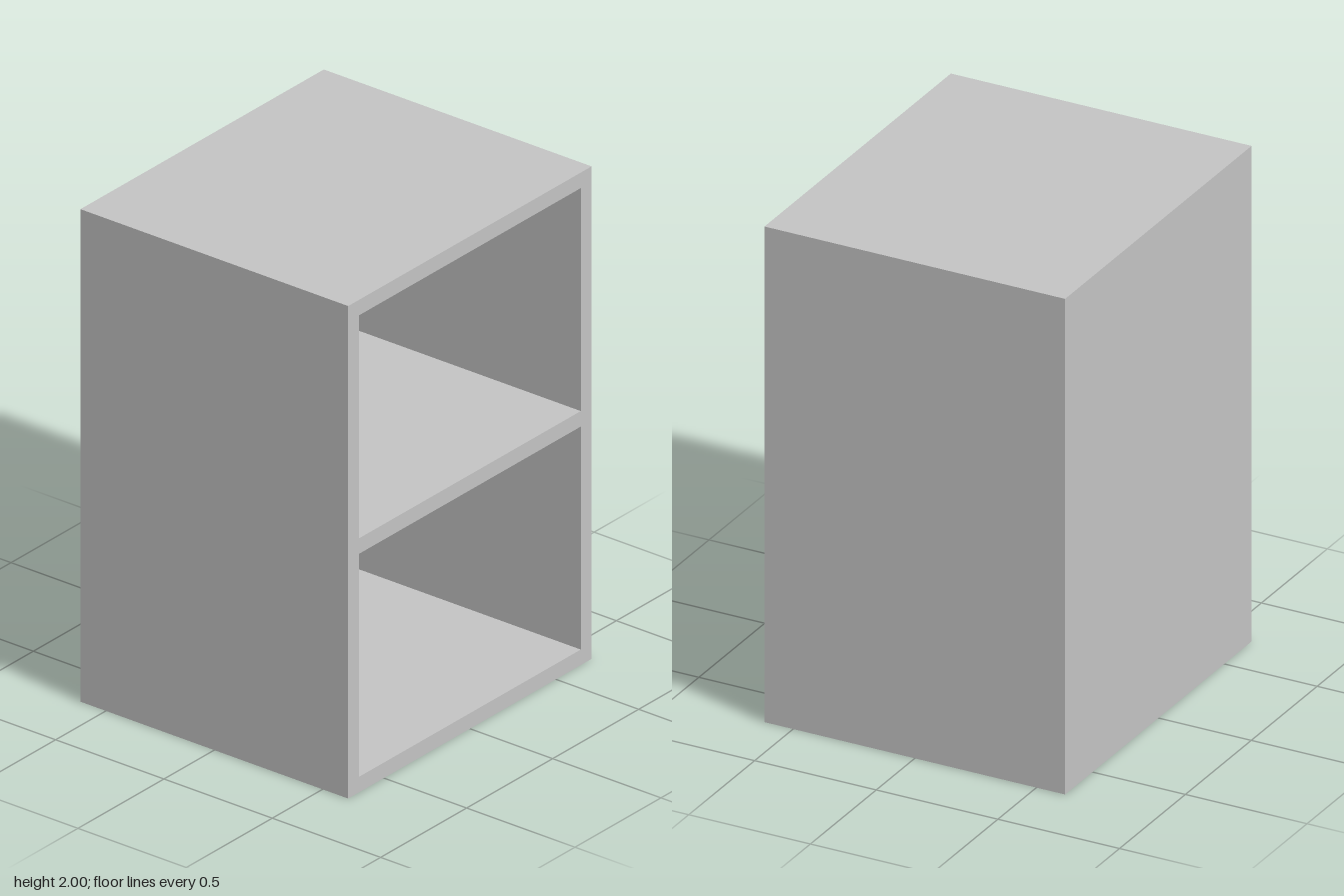
import * as THREE from 'three';

const WIDTH = 1.415, HEIGHT = 2, DEPTH = 1.236;
const BOARD = 0.063; // thickness of sides, top, bottom and shelf
const BACK = 0.12; // thickness of the back panel

// Closed rectangle path from its lower-left corner
function rectangle(path, x, y, w, h) {
  path.moveTo(x, y);
  path.lineTo(x + w, y);
  path.lineTo(x + w, y + h);
  path.lineTo(x, y + h);
  path.closePath();
  return path;
}

export function createModel() {
  const model = new THREE.Group();
  model.name = 'openCabinet';
  const grey = new THREE.MeshStandardMaterial({ color: 0xc4c4c4 });
  grey.name = 'light grey';

  // Carcass: sides, top, bottom and middle shelf around two equal openings
  const outline = rectangle(new THREE.Shape(), -WIDTH / 2, 0, WIDTH, HEIGHT);
  const openW = WIDTH - 2 * BOARD;
  const openH = (HEIGHT - 3 * BOARD) / 2;
  for (let i = 0; i < 2; i++) {
    const y = BOARD + i * (openH + BOARD);
    outline.holes.push(rectangle(new THREE.Path(), -openW / 2, y, openW, openH));
  }
  const carcass = new THREE.Mesh(
    new THREE.ExtrudeGeometry(outline, { depth: DEPTH - BACK, bevelEnabled: false }), grey);
  carcass.name = 'carcass';
  carcass.position.z = -DEPTH / 2 + BACK;

  // Back panel closing both compartments
  const back = new THREE.Mesh(new THREE.BoxGeometry(WIDTH, HEIGHT, BACK), grey);
  back.name = 'backPanel';
  back.position.set(0, HEIGHT / 2, -DEPTH / 2 + BACK / 2);

  model.add(carcass, back);
  return model;
}
